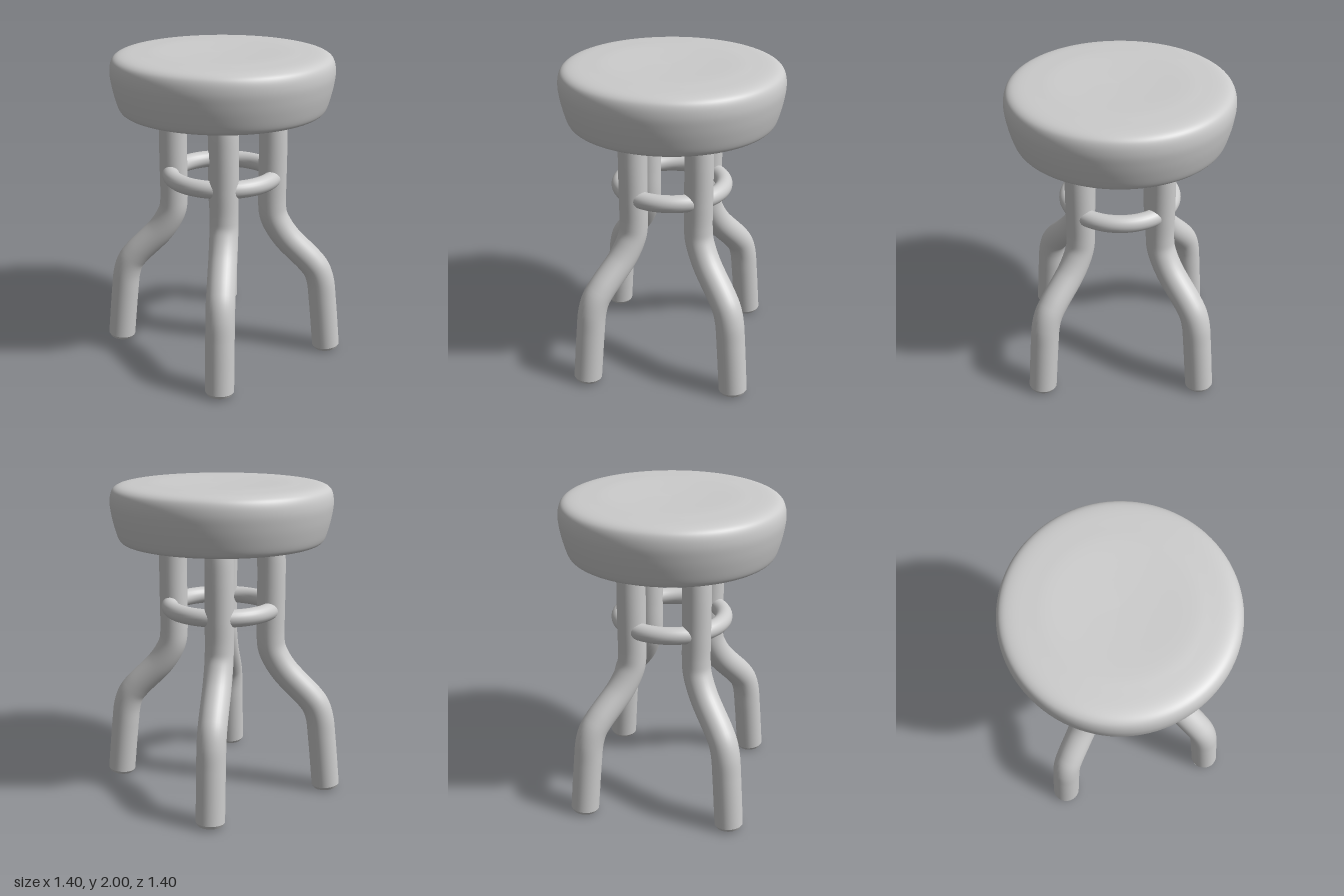
import * as THREE from 'three';

const grey = new THREE.MeshStandardMaterial({ color: 0xcccccc });
const LEG_R = 0.09;

function addMesh(parent, name, geometry) {
  const mesh = new THREE.Mesh(geometry, grey);
  mesh.name = name;
  parent.add(mesh);
  return mesh;
}

// Round cushion: flat underside, flared side, soft rim and a slightly dished top
function seatGeometry() {
  const side = new THREE.SplineCurve([
    [0.595, 1.63], [0.63, 1.637], [0.652, 1.665], [0.675, 1.74], [0.69, 1.81],
    [0.698, 1.88], [0.69, 1.94], [0.665, 1.975], [0.61, 1.992], [0.5, 1.998],
    [0.4, 2.0], [0.2, 1.994], [0, 1.99],
  ].map(([r, y]) => new THREE.Vector2(r, y))).getPoints(60);
  side[side.length - 1].x = 0;
  return new THREE.LatheGeometry([new THREE.Vector2(0, 1.63), ...side], 96);
}

// Leg bent outward by the same amount in x and z
function legPath(sx, sz) {
  const bends = [
    [-0.012, 1.68], [-0.003, 1.58], [0, 1.45], [0, 1.2], [0, 1.03], [0.006, 0.95],
    [0.027, 0.88], [0.07, 0.79], [0.18, 0.63], [0.212, 0.57], [0.232, 0.49],
    [0.245, 0.35], [0.268, 0.025],
  ];
  return new THREE.CatmullRomCurve3(bends.map(([d, y]) =>
    new THREE.Vector3(sx * (0.25 + d), y, sz * (0.205 + d))));
}

function buildLeg(name, sx, sz) {
  const leg = new THREE.Group();
  leg.name = name;
  const path = legPath(sx, sz);
  addMesh(leg, 'legTube', new THREE.TubeGeometry(path, 80, LEG_R, 32));

  // Chamfered foot closing the tube
  const foot = addMesh(leg, 'foot', new THREE.CylinderGeometry(LEG_R, 0.078, 0.02, 32));
  const down = path.getTangent(1);
  foot.quaternion.setFromUnitVectors(new THREE.Vector3(0, -1, 0), down);
  foot.position.copy(path.getPoint(1)).addScaledVector(down, 0.01);
  return leg;
}

export function createModel() {
  const stool = new THREE.Group();
  stool.name = 'stool';

  addMesh(stool, 'seat', seatGeometry());

  for (const sx of [1, -1]) {
    for (const sz of [1, -1]) {
      const name = (sz > 0 ? 'front' : 'back') + (sx > 0 ? 'Left' : 'Right') + 'Leg';
      stool.add(buildLeg(name, sx, sz));
    }
  }

  // Ring rail joining the legs
  const rail = addMesh(stool, 'ringRail', new THREE.TorusGeometry(0.333, 0.055, 24, 96));
  rail.rotation.x = Math.PI / 2;
  rail.position.y = 1.205;

  return stool;
}
